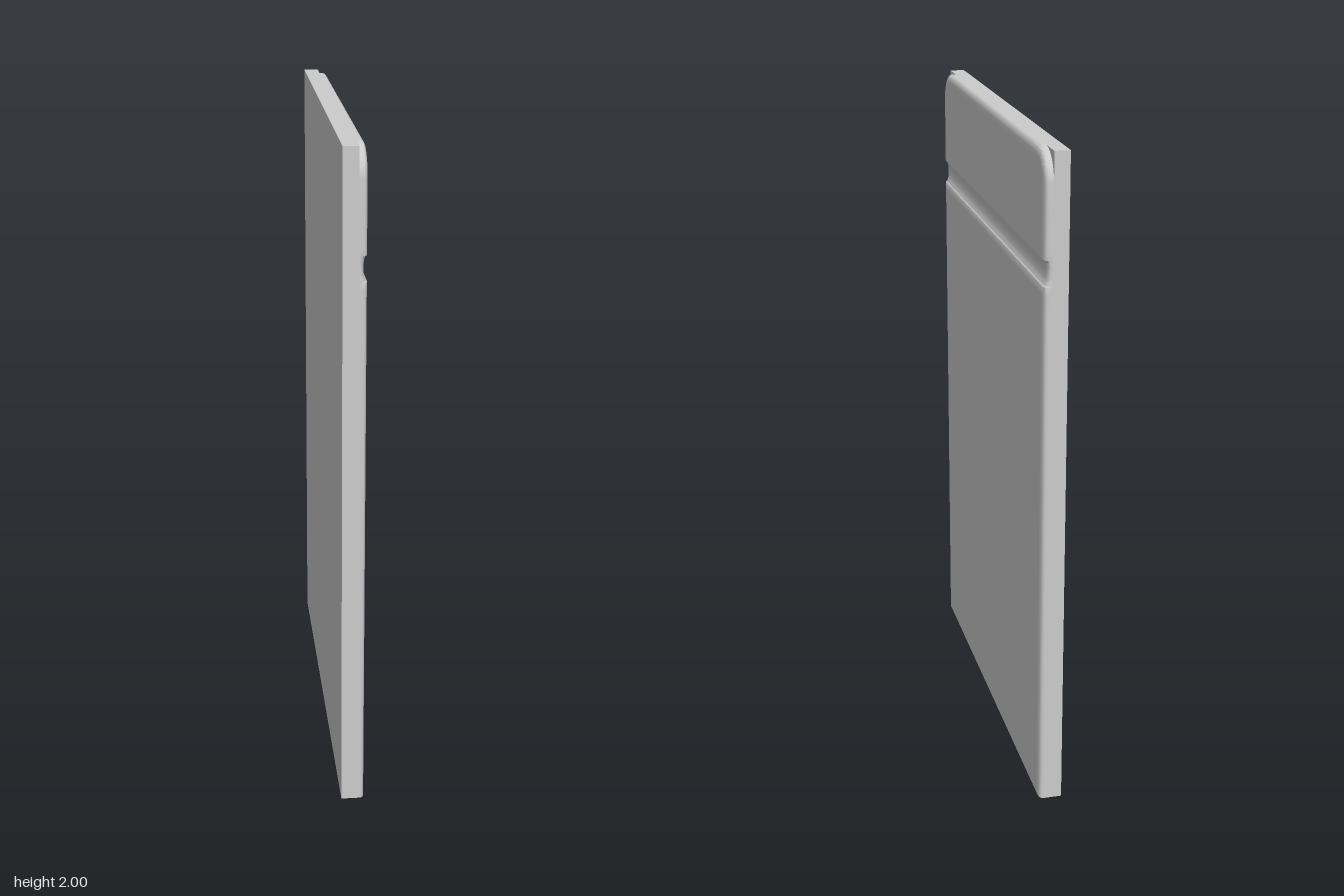
import * as THREE from 'three';
import { toCreasedNormals } from 'three/addons/utils/BufferGeometryUtils.js';

const HEIGHT = 2, HALF = 0.665;          // panel height and half width (along z)
const BACK = -0.035, SEAM = 0.01, FACE = 0.034;
const CORNER = 0.09;                     // radius of the two top corners
const INSET = 0.022, DROP = 0.013;       // soft edge: width and depth
const GROOVE = [1.625, 1.7], DEPTH = 0.01;

// half width of the facing at a given height
function halfWidth(y) {
  const up = Math.max(0, y - (HEIGHT - CORNER));
  return HALF - CORNER + Math.sqrt(Math.max(0, CORNER ** 2 - up ** 2));
}

// distance inwards from the round-cornered outline (square at the bottom)
function edgeDistance(y, z) {
  const a = Math.abs(z) - (HALF - CORNER), b = y - (HEIGHT - CORNER);
  return CORNER - Math.hypot(Math.max(a, 0), Math.max(b, 0)) - Math.min(Math.max(a, b), 0);
}

// height of the facing surface: soft edge minus the concave groove
function surface(y, z) {
  const s = 1 - THREE.MathUtils.clamp(edgeDistance(y, z) / INSET, 0, 1);
  const t = (2 * y - GROOVE[0] - GROOVE[1]) / (GROOVE[1] - GROOVE[0]);
  const groove = DEPTH * Math.sqrt(Math.max(0, 1 - t * t));
  return FACE - DROP * (1 - Math.sqrt(1 - s * s)) - groove;
}

function facingGeometry() {
  // rows: plain panel, groove arc, upper panel, rounded corners
  const rows = [0, 0.8, 1.6];
  for (let i = 0; i <= 12; i++) {
    const t = (1 - Math.cos(Math.PI * i / 12)) / 2;
    rows.push(THREE.MathUtils.lerp(GROOVE[0], GROOVE[1], t));
  }
  rows.push(1.72, 1.82);
  for (let i = 0; i <= 16; i++) rows.push(HEIGHT - CORNER + CORNER * Math.sin(Math.PI * i / 32));

  // columns: insets from each side, mirrored
  const insets = [0, 0.001, 0.003, 0.006, 0.01, 0.015, 0.022, 0.035, 0.06, 0.09, 0.15];
  const position = [], index = [];
  const cols = insets.length * 2 + 2;
  const addRow = (y, wall) => {
    const w = halfWidth(y);
    const zs = [...insets.map(d => w - d), ...insets.map(d => d - w).reverse()];
    position.push(SEAM, y, w);
    for (const z of zs) position.push(wall ? SEAM : surface(y, z), y, z);
    position.push(SEAM, y, -w);
  };
  addRow(0, true);
  rows.forEach(y => addRow(y, false));
  addRow(HEIGHT, true);
  for (let r = 0; r < rows.length + 1; r++) {
    for (let c = 0; c < cols - 1; c++) {
      const a = r * cols + c, d = a + cols;
      index.push(a, a + 1, d + 1, a, d + 1, d);
    }
  }
  const geometry = new THREE.BufferGeometry();
  geometry.setAttribute('position', new THREE.Float32BufferAttribute(position, 3));
  geometry.setIndex(index);
  return toCreasedNormals(geometry, 0.6);
}

export function createModel() {
  const group = new THREE.Group();
  group.name = 'panel';
  const material = new THREE.MeshStandardMaterial({ color: 0xcccccc });

  // flat square-cornered backing
  const board = new THREE.Mesh(new THREE.BoxGeometry(SEAM - BACK, HEIGHT, HALF * 2), material);
  board.name = 'backingBoard';
  board.position.set((SEAM + BACK) / 2, HEIGHT / 2, 0);

  // soft-edged facing with a groove across it
  const facing = new THREE.Mesh(facingGeometry(), material);
  facing.name = 'facing';

  group.add(board, facing);
  return group;
}
